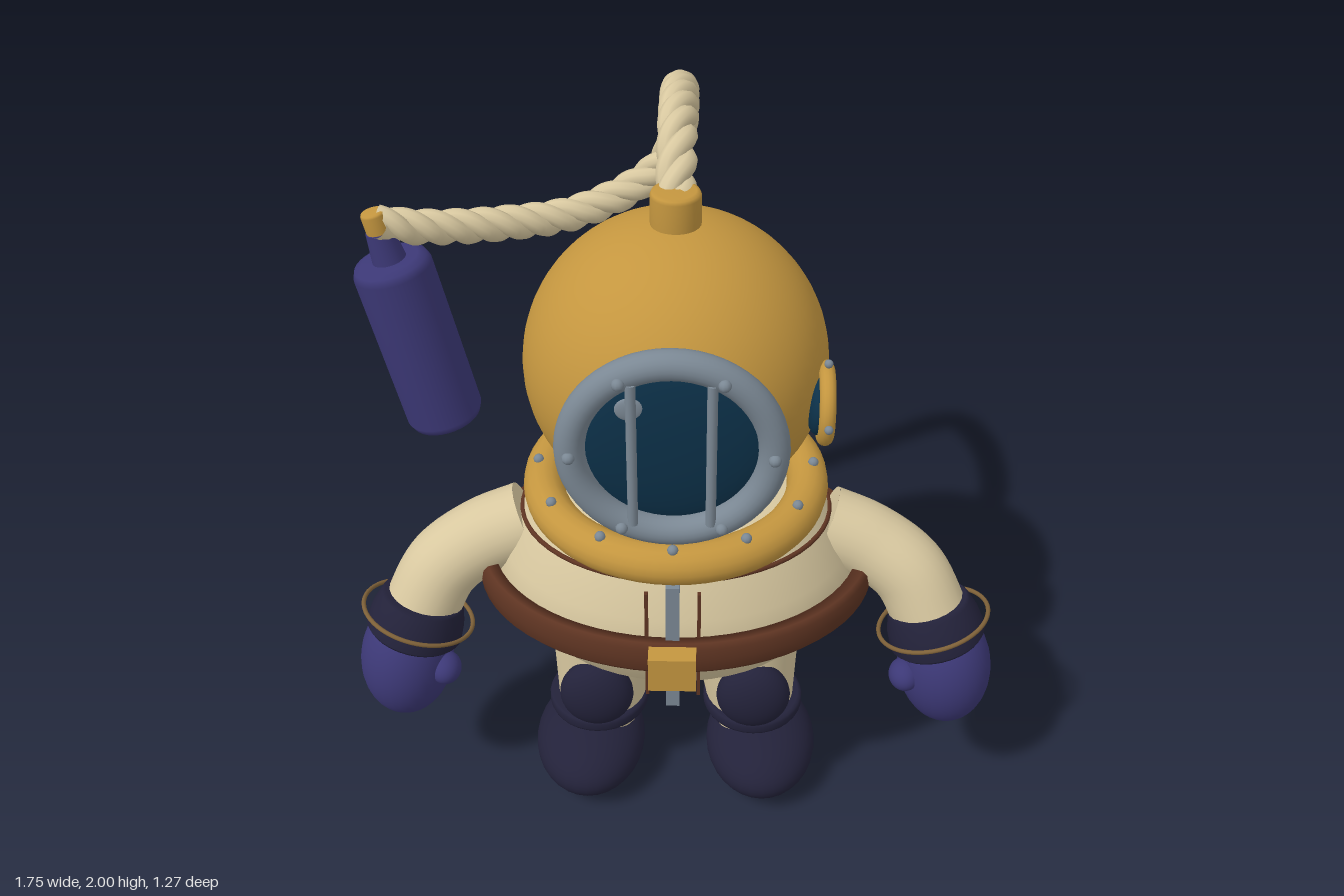
import * as THREE from 'three';

const V = (x, y, z) => new THREE.Vector3(x, y, z);
const UP = V(0, 1, 0);

function makeMaterial(name, color) {
  const m = new THREE.MeshStandardMaterial({ color });
  m.name = name;
  return m;
}

export function createModel() {
  const gold = makeMaterial('brass', 0xc4963f);
  const cream = makeMaterial('canvas', 0xd8c8a0);
  const purple = makeMaterial('purple', 0x3c3876);
  const navy = makeMaterial('dark navy', 0x23223a);
  const brown = makeMaterial('leather', 0x5e3422);
  const steel = makeMaterial('steel', 0x7b8894);
  const glass = makeMaterial('glass', 0x0c3048);
  const bronze = makeMaterial('bronze', 0x7d6038);

  const model = new THREE.Group();
  model.name = 'deepSeaDiver';

  function add(name, geometry, material, pos = [0, 0, 0], parent = model) {
    const mesh = new THREE.Mesh(geometry, material);
    mesh.name = name;
    mesh.position.set(...pos);
    parent.add(mesh);
    return mesh;
  }
  function ellipsoid(name, material, pos, [rx, ry, rz], parent = model) {
    return add(name, new THREE.SphereGeometry(1, 32, 24).scale(rx, ry, rz), material, pos, parent);
  }
  function bolt(name, pos, r = 0.014) {
    return add(name, new THREE.SphereGeometry(r, 10, 8), steel, pos);
  }
  const lathe = (pts, seg = 48) =>
    new THREE.LatheGeometry(pts.map(p => new THREE.Vector2(...p)), seg);
  // flat horizontal ring
  const ring = (R, r) => new THREE.TorusGeometry(R, r, 16, 56).rotateX(Math.PI / 2);
  // solid round bar with softened rims
  const drum = (r, h, b) => lathe([[0, -h / 2], [r - b, -h / 2], [r - b * 0.3, -h / 2 + b * 0.3],
    [r, -h / 2 + b], [r, h / 2 - b], [r - b * 0.3, h / 2 - b * 0.3], [r - b, h / 2], [0, h / 2]], 32);

  const cz = 0.165; // body axis

  // torso, belt and seams share an oval plan
  const body = new THREE.Group();
  body.name = 'body';
  body.position.z = cz;
  body.scale.z = 0.78;
  model.add(body);
  add('torso', lathe([[0, 0.585], [0.382, 0.585], [0.387, 0.588], [0.44, 0.66], [0.482, 0.73],
    [0.49, 0.78], [0.465, 0.86], [0.42, 0.94], [0.395, 0.985], [0.36, 1.04], [0, 1.045]]), cream, [0, 0, 0], body);
  add('belt', lathe([[0.495, 0.73], [0.525, 0.73], [0.538, 0.745], [0.541, 0.78], [0.538, 0.815],
    [0.525, 0.83], [0.495, 0.83], [0.495, 0.73]], 64), brown, [0, 0, 0], body);
  add('chestSeam', ring(0.409, 0.007), brown, [0, 0.96, 0], body);

  // front closure
  add('zipper', new THREE.BoxGeometry(0.035, 0.41, 0.02), steel, [0, 0.8, 0.552]);
  for (const s of [-1, 1])
    add('zipperSeam', new THREE.BoxGeometry(0.009, 0.35, 0.012), brown, [s * 0.066, 0.8, 0.545]);
  add('buckle', new THREE.BoxGeometry(0.12, 0.105, 0.05), gold, [0, 0.78, 0.612]);

  // collar
  add('collar', ring(0.347, 0.054), gold, [0, 1.045, cz]);
  for (let i = 0; i < 12; i++) {
    const a = i * Math.PI / 6;
    bolt('collarBolt', [Math.sin(a) * 0.36, 1.098, cz + Math.cos(a) * 0.36]);
  }

  // helmet
  add('helmet', new THREE.SphereGeometry(0.38, 56, 40), gold, [0, 1.42, cz]);
  add('hoseFitting', drum(0.061, 0.1, 0.012), gold, [0, 1.83, 0.16]);

  // front window
  add('windowFrame', new THREE.TorusGeometry(0.232, 0.036, 20, 56), steel, [0, 1.447, 0.585]);
  ellipsoid('windowGlass', glass, [0, 1.447, 0.555], [0.225, 0.225, 0.045]);
  ellipsoid('windowGlint', steel, [-0.095, 1.56, 0.588], [0.033, 0.03, 0.008]);
  for (const s of [-1, 1])
    add('windowBar', new THREE.CylinderGeometry(0.012, 0.012, 0.39, 12), steel, [s * 0.09, 1.447, 0.61]);
  for (let i = 0; i < 6; i++) {
    const a = i * Math.PI / 3;
    bolt('windowBolt', [Math.cos(a) * 0.232, 1.447 + Math.sin(a) * 0.232, 0.62], 0.015);
  }

  // side porthole, on one side only
  add('portholeFrame', new THREE.TorusGeometry(0.085, 0.02, 14, 40).rotateY(Math.PI / 2), gold, [0.365, 1.39, 0.31]);
  ellipsoid('portholeGlass', glass, [0.345, 1.39, 0.315], [0.028, 0.075, 0.075]);
  for (let i = 0; i < 4; i++) {
    const a = i * Math.PI / 2;
    bolt('portholeBolt', [0.367, 1.39 + Math.sin(a) * 0.113, 0.31 + Math.cos(a) * 0.113], 0.011);
  }

  // arms and legs
  for (const s of [-1, 1]) {
    const path = new THREE.CatmullRomCurve3([V(s * 0.4, 0.9, 0.17), V(s * 0.52, 0.855, 0.19),
      V(s * 0.63, 0.785, 0.23), V(s * 0.7, 0.66, 0.275)]);
    add('sleeve', new THREE.TubeGeometry(path, 24, 0.104, 24), cream);
    const cap = add('sleeveEnd', new THREE.CircleGeometry(0.104, 24), cream, path.getPoint(0).toArray());
    cap.quaternion.setFromUnitVectors(V(0, 0, 1), path.getTangent(0).negate());

    const hand = new THREE.Group();
    hand.name = 'hand';
    hand.position.set(s * 0.705, 0.65, 0.278);
    hand.quaternion.setFromUnitVectors(UP, V(-s * 0.3, 0.92, -0.18).normalize());
    model.add(hand);
    add('cuff', lathe([[0, -0.06], [0.125, -0.06], [0.133, -0.05], [0.128, 0], [0.113, 0.05],
      [0.106, 0.06], [0, 0.06]], 32), navy, [0, 0, 0], hand);
    add('cuffRing', ring(0.152, 0.006), bronze, [0, 0, 0], hand);
    const mitt = ellipsoid('mitten', purple, [s * 0.748, 0.505, 0.297], [0.128, 0.183, 0.142]);
    mitt.rotation.z = s * 0.12;
    ellipsoid('thumb', purple, [s * 0.632, 0.515, 0.355], [0.043, 0.043, 0.05]);

    const leg = add('leg', new THREE.CylinderGeometry(0.168, 0.12, 0.46, 32, 6), cream, [s * 0.222, 0.42, 0.172]);
    // lean the top of the leg towards the middle
    const p = leg.geometry.attributes.position;
    for (let i = 0; i < p.count; i++) {
      const t = (p.getY(i) + 0.23) / 0.46;
      p.setXYZ(i, p.getX(i) - s * 0.035 * t, p.getY(i), p.getZ(i) * (1 - 0.1 * t));
    }
    leg.geometry.computeVertexNormals();
    ellipsoid('kneePatch', navy, [s * 0.222, 0.375, 0.305], [0.104, 0.113, 0.062]);
    add('ankleBand', drum(0.145, 0.042, 0.012), navy, [s * 0.226, 0.245, 0.178]);
    ellipsoid('boot', navy, [s * 0.252, 0.112, 0.225], [0.16, 0.11, 0.218]);
  }

  // leaning air tank
  const tank = new THREE.Group();
  tank.name = 'airTank';
  tank.position.set(-0.72, 1.225, -0.203);
  tank.rotation.z = 0.205;
  model.add(tank);
  add('tankBody', drum(0.109, 0.53, 0.03), purple, [0, 0, 0], tank);
  add('tankNeck', new THREE.CylinderGeometry(0.037, 0.047, 0.09, 24), purple, [0, 0.305, 0], tank);
  add('tankValve', drum(0.034, 0.065, 0.008), gold, [0, 0.376, 0], tank);

  // air hose: three strands twisted round one path
  const hosePath = new THREE.CatmullRomCurve3([V(0, 1.84, 0.15), V(0, 1.895, 0.06), V(0, 1.94, -0.04),
    V(0, 1.947, -0.18), V(0, 1.91, -0.34), V(0, 1.83, -0.48), V(0, 1.74, -0.55), V(-0.02, 1.64, -0.585),
    V(-0.09, 1.555, -0.565), V(-0.28, 1.492, -0.47), V(-0.5, 1.51, -0.355), V(-0.7, 1.555, -0.25),
    V(-0.795, 1.59, -0.203)]);
  const steps = 160, turns = 8;
  const frames = hosePath.computeFrenetFrames(steps, false);
  const hose = new THREE.Group();
  hose.name = 'airHose';
  model.add(hose);
  for (let k = 0; k < 3; k++) {
    const pts = [];
    for (let i = 0; i <= steps; i++) {
      const a = (i / steps) * turns * Math.PI * 2 + k * Math.PI * 2 / 3;
      pts.push(hosePath.getPointAt(i / steps)
        .addScaledVector(frames.normals[i], Math.cos(a) * 0.023)
        .addScaledVector(frames.binormals[i], Math.sin(a) * 0.023));
    }
    add('hoseStrand', new THREE.TubeGeometry(new THREE.CatmullRomCurve3(pts), 240, 0.027, 10), cream, [0, 0, 0], hose);
  }

  return model;
}
